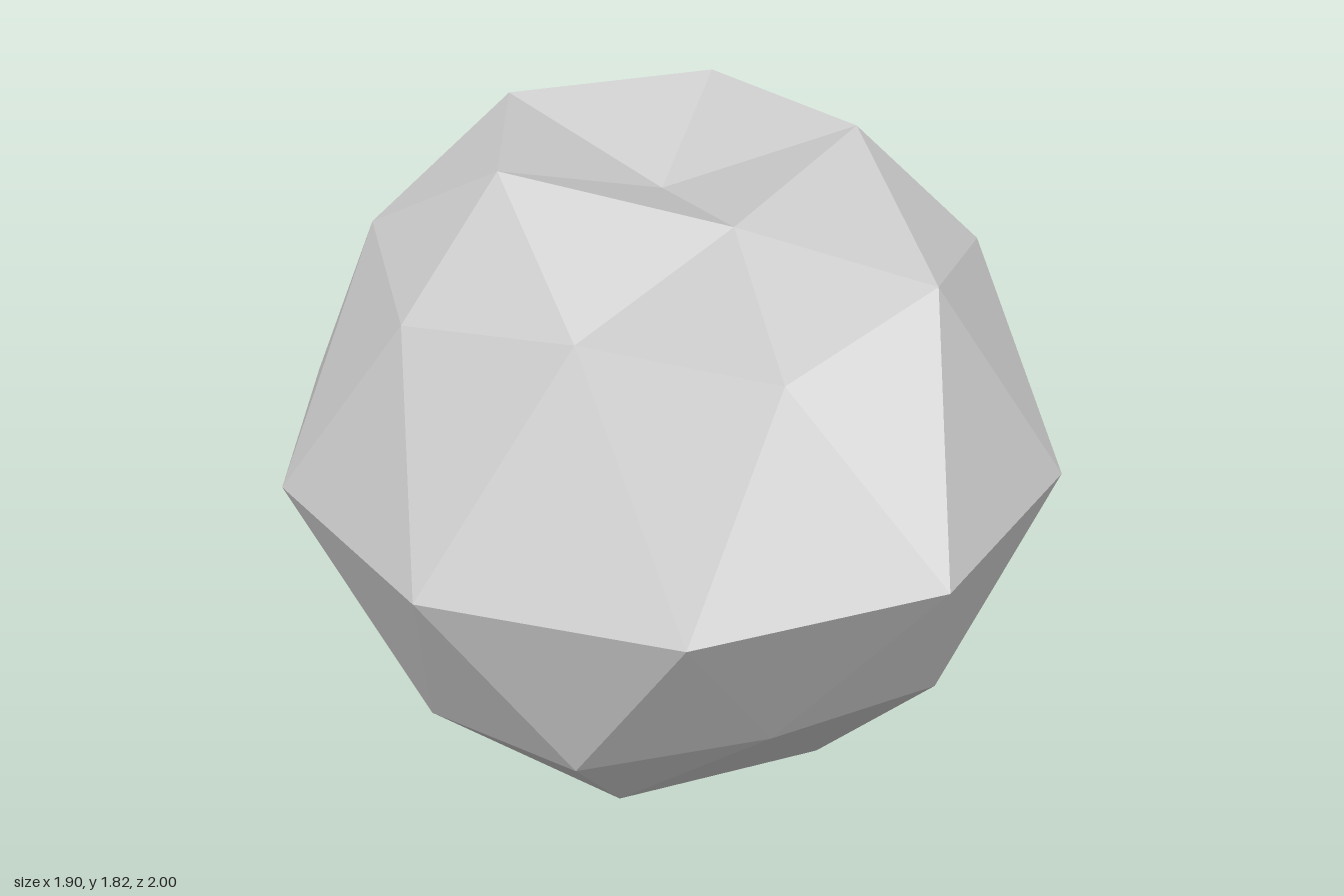
import * as THREE from 'three';

const EQUATOR_Y = 1.03;

// Point on a horizontal ring, angle in degrees from +x towards +z
function ringPoint(deg, r, y, cx = 0, cz = 0) {
  const a = THREE.MathUtils.degToRad(deg);
  return new THREE.Vector3(cx + r * Math.cos(a), y, cz + r * Math.sin(a));
}

// Faceted mesh from triangles, each wound to face away from the ball's centre
function facetMesh(name, triangles, material) {
  const centre = new THREE.Vector3(0, EQUATOR_Y, 0);
  const points = [];
  for (const [a, b, c] of triangles) {
    const normal = b.clone().sub(a).cross(c.clone().sub(a));
    const outward = a.clone().add(b).add(c).divideScalar(3).sub(centre);
    points.push(...(normal.dot(outward) > 0 ? [a, b, c] : [a, c, b]));
  }
  const geometry = new THREE.BufferGeometry().setFromPoints(points);
  geometry.computeVertexNormals();
  const mesh = new THREE.Mesh(geometry, material);
  mesh.name = name;
  return mesh;
}

// Pentagon drawn as five triangles around a raised or sunken hub
const fan = (hub, rim) => rim.map((p, i) => [hub, p, rim[(i + 1) % rim.length]]);

// One half of the ball: cap pentagon, five side pentagons and the triangles between
function buildHalf(name, offset, pole, cap, shoulder, hubs, material) {
  const group = new THREE.Group();
  group.name = name;
  const equator = (deg) => ringPoint(deg, 1, EQUATOR_Y);
  const gaps = [];
  group.add(facetMesh(name + 'Cap', fan(pole, cap), material));
  for (let k = 0; k < 5; k++) {
    const deg = offset + 72 * k;
    const next = (k + 1) % 5, prev = (k + 4) % 5;
    const rim = [cap[k], shoulder[k], equator(deg + 18), equator(deg - 18), shoulder[prev]];
    group.add(facetMesh(name + 'Panel', fan(hubs[k], rim), material));
    gaps.push([cap[k], cap[next], shoulder[k]]);
    gaps.push([shoulder[k], equator(deg + 18), equator(deg + 54)]);
  }
  group.add(facetMesh(name + 'Triangles', gaps, material));
  return group;
}

export function createModel() {
  const model = new THREE.Group();
  model.name = 'facetedBall';
  const grey = new THREE.MeshStandardMaterial({ color: 0xcccccc });
  grey.name = 'lightGrey';
  grey.flatShading = true;
  const five = (fn) => Array.from({ length: 5 }, (_, k) => fn(72 * k));

  // Upper half with a sunken cap and a sunken front panel
  const upperCap = five((d) => ringPoint(d, 0.46, 1.82, -0.02, 0.01));
  upperCap[1].y = 1.75;
  const upperShoulder = five((d) => ringPoint(d + 36, 0.72, 1.59));
  const upperHubs = five((d) => ringPoint(d, 0.755, 1.525));
  upperHubs[1].set(0.23, 1.435, 0.59);
  model.add(buildHalf('upper', 0, new THREE.Vector3(-0.02, 1.67, 0.01),
    upperCap, upperShoulder, upperHubs, grey));

  // Lower half, turned by 36 degrees, with a flattened front
  const lowerCap = five((d) => ringPoint(d + 36, 0.48, 0.145));
  const lowerShoulder = five((d) => ringPoint(d + 72, 0.765, 0.44));
  lowerShoulder[0].set(0.23, 0.44, 0.58);
  const lowerHubs = five((d) => ringPoint(d + 36, 0.805, 0.51));
  model.add(buildHalf('lower', 36, new THREE.Vector3(0, 0, 0),
    lowerCap, lowerShoulder, lowerHubs, grey));

  return model;
}
